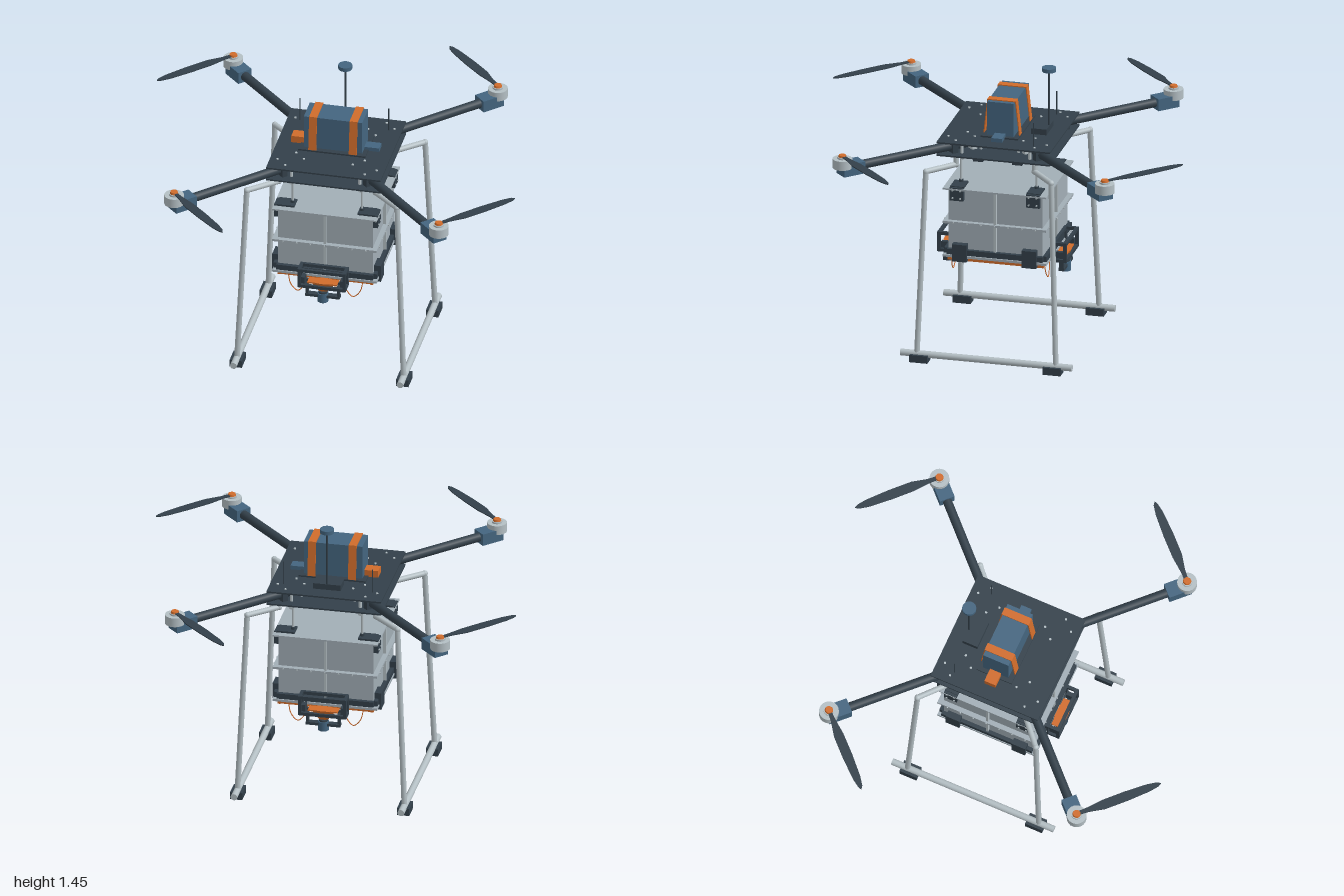
import * as THREE from 'three';

const mat = (name, color, side = THREE.FrontSide) => {
  const m = new THREE.MeshStandardMaterial({ color, side });
  m.name = name;
  return m;
};

export function createModel() {
  const carbon = mat('carbon', 0x33404a);
  const blue = mat('slate blue', 0x44657f);
  const orange = mat('orange', 0xd06c2b);
  const shell = mat('panel grey', 0xa2aeb6);
  const metal = mat('light metal', 0xb4bfc4);

  const root = new THREE.Group();
  root.name = 'deliveryDrone';
  const V = (x, y, z) => new THREE.Vector3(x, y, z);
  const group = (name, parent = root) => {
    const g = new THREE.Group();
    g.name = name;
    parent.add(g);
    return g;
  };
  const add = (p, name, geo, m, x = 0, y = 0, z = 0) => {
    const mesh = new THREE.Mesh(geo, m);
    mesh.name = name;
    mesh.position.set(x, y, z);
    p.add(mesh);
    return mesh;
  };
  const box = (p, name, m, w, h, d, x, y, z) => add(p, name, new THREE.BoxGeometry(w, h, d), m, x, y, z);
  const cyl = (p, name, m, r, y0, y1, x, z, r2 = r, n = 24) =>
    add(p, name, new THREE.CylinderGeometry(r2, r, y1 - y0, n), m, x, (y0 + y1) / 2, z);
  const rod = (p, name, m, a, b, r, n = 14) => {
    const d = b.clone().sub(a);
    const mesh = add(p, name, new THREE.CylinderGeometry(r, r, d.length(), n), m);
    mesh.position.copy(a).addScaledVector(d, 0.5);
    mesh.quaternion.setFromUnitVectors(V(0, 1, 0), d.normalize());
    return mesh;
  };
  const corners = [[1, 1], [-1, 1], [1, -1], [-1, -1]];

  // Frame plates
  const frame = group('frame');
  box(frame, 'topPlate', carbon, 0.58, 0.008, 0.58, 0, 1.112, 0);
  box(frame, 'bottomPlate', carbon, 0.58, 0.008, 0.58, 0, 1.046, 0);

  // One propeller blade outline, lying flat and pointing along +x
  const outline = new THREE.Shape();
  outline.moveTo(0, -0.009);
  [[0.06, -0.012], [0.14, -0.027], [0.26, -0.026], [0.38, -0.019], [0.43, -0.01], [0.448, 0],
    [0.43, 0.012], [0.38, 0.02], [0.26, 0.024], [0.14, 0.022], [0.06, 0.012], [0, 0.009]]
    .forEach(([x, y]) => outline.lineTo(x, y));
  const bladeGeo = new THREE.ExtrudeGeometry(outline, { depth: 0.005, bevelEnabled: false });
  bladeGeo.rotateX(-Math.PI / 2);

  // Four arms, each built along +x and turned onto its diagonal
  for (let k = 0; k < 4; k++) {
    const arm = group('arm');
    arm.rotation.y = -Math.PI / 4 + k * Math.PI / 2;
    rod(arm, 'armTube', carbon, V(0.2, 1.08, 0), V(0.87, 1.08, 0), 0.023, 18);
    for (const r of [0.21, 0.32]) {
      box(arm, 'armClamp', r < 0.3 ? metal : carbon, 0.03, 0.062, 0.07, r, 1.079, 0);
      for (const s of [-1, 1]) {
        cyl(arm, 'plateScrew', metal, 0.006, 1.114, 1.121, r, s * 0.035, 0.006, 8);
        cyl(arm, 'spacer', metal, 0.008, 1.048, 1.11, r - 0.03, s * 0.045, 0.008, 10);
      }
    }
    box(arm, 'motorMount', blue, 0.12, 0.062, 0.078, 0.9, 1.078, 0);
    cyl(arm, 'motorBell', metal, 0.049, 1.086, 1.134, 0.948, 0, 0.049, 32);
    cyl(arm, 'motorShaft', metal, 0.026, 1.134, 1.143, 0.948, 0);
    const blade = add(arm, 'propellerBlade', bladeGeo, carbon, 0.948, 1.143, 0);
    blade.rotation.y = Math.PI / 2;
    cyl(arm, 'propellerCap', orange, 0.021, 1.143, 1.153, 0.948, 0, 0.018);
  }

  // Battery with straps and plugs
  const battery = group('battery');
  box(battery, 'batteryTray', carbon, 0.34, 0.008, 0.19, 0, 1.12, 0);
  box(battery, 'batteryPack', blue, 0.296, 0.176, 0.136, 0, 1.211, 0);
  for (const x of [-0.1, 0.105]) {
    box(battery, 'strapTop', orange, 0.04, 0.006, 0.146, x, 1.301, 0);
    for (const s of [-1, 1]) {
      const side = box(battery, 'strapSide', orange, 0.04, 0.182, 0.005, x, 1.212, s * 0.081);
      side.rotation.x = -s * 0.11;
    }
  }
  box(battery, 'powerPlug', orange, 0.07, 0.036, 0.06, -0.185, 1.136, 0);
  box(battery, 'balancePlug', blue, 0.075, 0.02, 0.055, 0.187, 1.128, 0);

  // Electronics, positioning mast and aerials
  const electronics = group('electronics');
  box(electronics, 'controller', carbon, 0.14, 0.03, 0.08, 0, 1.133, -0.175);
  cyl(electronics, 'mast', carbon, 0.005, 1.11, 1.435, 0, -0.21, 0.005, 10);
  cyl(electronics, 'mastHead', blue, 0.035, 1.432, 1.452, 0, -0.21, 0.035, 28);
  for (const s of [-1, 1]) {
    cyl(electronics, 'aerial', carbon, 0.003, 1.11, 1.24, s * 0.225, -0.19, 0.003, 8);
  }

  // Landing gear
  const gear = group('landingGear');
  for (const [sx, sz] of corners) {
    const pts = [V(0.245, 1.045, 0.2), V(0.245, 0.99, 0.2), V(0.38, 0.99, 0.32), V(0.422, 0.04, 0.355)]
      .map((p) => p.multiply(V(sx, 1, sz)));
    for (let i = 0; i < 3; i++) {
      rod(gear, 'legTube', metal, pts[i], pts[i + 1], 0.014);
      if (i) add(gear, 'legElbow', new THREE.SphereGeometry(0.0155, 14, 10), metal, ...pts[i].toArray());
    }
    box(gear, 'foot', carbon, 0.062, 0.038, 0.092, sx * 0.422, 0.019, sz * 0.34);
  }
  for (const s of [-1, 1]) {
    rod(gear, 'skid', metal, V(s * 0.422, 0.038, -0.438), V(s * 0.422, 0.038, 0.438), 0.017);
  }

  // Rails and hangers carrying the cargo box
  const hanger = group('hanger');
  for (const s of [-1, 1]) {
    rod(hanger, 'rail', metal, V(s * 0.175, 1.018, -0.24), V(s * 0.175, 1.018, 0.24), 0.014);
    for (const t of [-1, 1]) {
      box(hanger, 'railClamp', carbon, 0.058, 0.045, 0.05, s * 0.175, 1.02, t * 0.1);
      cyl(hanger, 'hangerRod', metal, 0.006, 0.865, 1.02, s * 0.175, t * 0.193, 0.006, 10);
      cyl(hanger, 'hangerNut', carbon, 0.012, 0.87, 0.886, s * 0.175, t * 0.193, 0.012, 6);
    }
  }

  // Cargo box: body, flanges, ribs
  const cargo = group('cargoBox');
  box(cargo, 'boxBody', shell, 0.48, 0.36, 0.48, 0, 0.682, 0);
  for (const [y, h] of [[0.861, 0.008], [0.685, 0.012], [0.508, 0.012]]) {
    box(cargo, 'boxFlange', shell, 0.53, h, 0.53, 0, y, 0);
  }
  for (let k = 0; k < 4; k++) {
    const face = group('boxSide', cargo);
    face.rotation.y = k * Math.PI / 2;
    box(face, 'centreRib', metal, 0.012, 0.35, 0.016, 0, 0.685, 0.247);
    box(face, 'lowerChannel', carbon, 0.49, 0.028, 0.02, 0, 0.53, 0.252);
    for (let i = -3; i <= 3; i++) {
      const stud = add(face, 'rivet', new THREE.CylinderGeometry(0.004, 0.004, 0.006, 8), metal, i * 0.07, 0.685, 0.267);
      stud.rotation.x = Math.PI / 2;
    }
  }
  for (const [sx, sz] of corners) {
    box(cargo, 'topBracket', carbon, 0.09, 0.01, 0.07, sx * 0.205, 0.869, sz * 0.195);
    box(cargo, 'sideBracket', carbon, 0.024, 0.068, 0.07, sx * 0.251, 0.836, sz * 0.195);
    box(cargo, 'hingeBlock', carbon, 0.034, 0.09, 0.074, sx * 0.258, 0.53, sz * 0.178);
    for (const [dy, dz] of corners) {
      const bolt = add(cargo, 'bracketBolt', new THREE.CylinderGeometry(0.005, 0.005, 0.006, 8), metal,
        sx * 0.264, 0.836 + dy * 0.02, sz * 0.195 + dz * 0.02);
      bolt.rotation.z = Math.PI / 2;
    }
  }

  // Drop doors with raised edges and latches
  const doors = group('dropDoors');
  for (const s of [-1, 1]) {
    box(doors, 'door', orange, 0.24, 0.012, 0.49, s * 0.123, 0.496, 0);
    for (const x of [0.012, 0.235]) box(doors, 'doorRib', orange, 0.014, 0.012, 0.49, s * x, 0.486, 0);
    for (const z of [-0.238, 0, 0.238]) box(doors, 'doorCrossRib', orange, 0.22, 0.01, 0.012, s * 0.123, 0.487, z);
    for (const z of [-0.13, 0.13]) {
      box(doors, 'latch', carbon, 0.05, 0.016, 0.03, s * 0.05, 0.484, z);
      box(doors, 'doorHinge', carbon, 0.04, 0.014, 0.05, s * 0.215, 0.484, z);
    }
    for (const t of [-1, 1]) {
      const cable = new THREE.CatmullRomCurve3([V(s * 0.19, 0.49, t * 0.235), V(s * 0.175, 0.43, t * 0.24),
        V(s * 0.14, 0.398, t * 0.242), V(s * 0.108, 0.43, t * 0.24), V(s * 0.09, 0.49, t * 0.235)]);
      add(doors, 'safetyCord', new THREE.TubeGeometry(cable, 24, 0.0025, 6), orange);
    }
  }

  // Release units on the front and back of the box
  for (const s of [1, -1]) {
    const unit = group('releaseUnit');
    unit.rotation.y = s > 0 ? 0 : Math.PI;
    for (const y of [0.566, 0.478]) {
      for (const z of [0.264, 0.322]) box(unit, 'cageBar', carbon, 0.244, 0.016, 0.016, 0, y, z);
      for (const x of [-0.114, 0.114]) box(unit, 'cageEnd', carbon, 0.016, 0.016, 0.07, x, y, 0.293);
    }
    for (const x of [-0.114, 0.114]) {
      for (const z of [0.264, 0.322]) box(unit, 'cagePost', carbon, 0.016, 0.1, 0.016, x, 0.522, z);
      box(unit, 'servo', carbon, 0.02, 0.05, 0.04, x * 0.87, 0.495, 0.293);
      box(unit, 'yokeSide', carbon, 0.014, 0.07, 0.024, x * 0.7, 0.447, 0.295);
    }
    box(unit, 'yokeBase', carbon, 0.174, 0.014, 0.03, 0, 0.42, 0.295);
    const funnel = cyl(unit, 'funnel', orange, 0.02, 0.44, 0.5, 0, 0.293, 0.07, 28);
    funnel.scale.z = 0.45;
    box(unit, 'funnelRim', orange, 0.15, 0.008, 0.05, 0, 0.496, 0.293);
    cyl(unit, 'sensorNeck', carbon, 0.022, 0.425, 0.445, 0, 0.295);
    cyl(unit, 'sensor', blue, 0.027, 0.388, 0.436, 0, 0.295);
  }
  return root;
}
